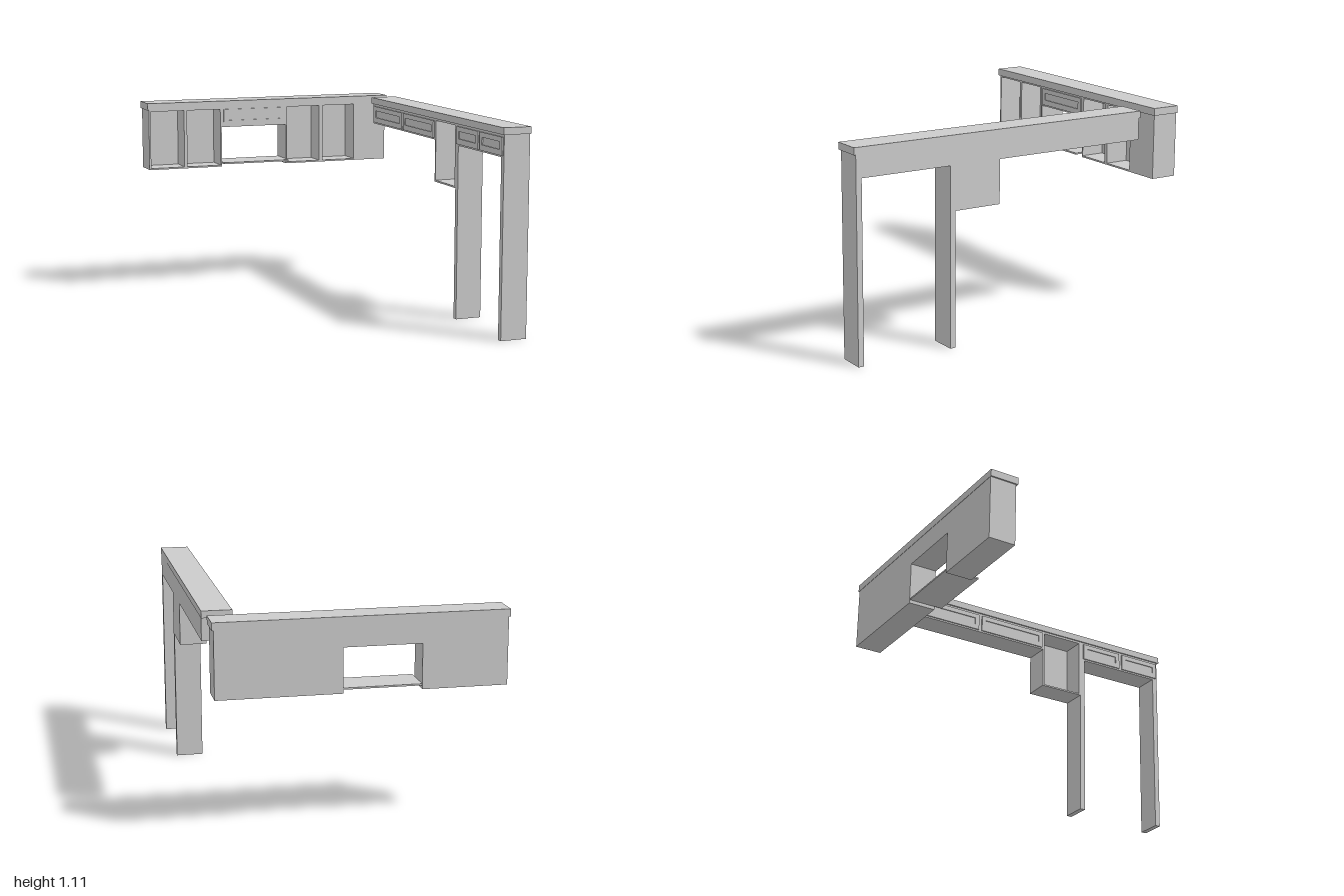
import * as THREE from 'three';

const material = new THREE.MeshStandardMaterial({ color: 0xcccccc, flatShading: true });

function add(parent, name, geometry) {
  const mesh = new THREE.Mesh(geometry, material);
  mesh.name = name;
  parent.add(mesh);
  return mesh;
}

// Box given by its limits on each axis
function box(parent, name, x0, x1, y0, y1, z0, z1) {
  const mesh = add(parent, name, new THREE.BoxGeometry(x1 - x0, y1 - y0, z1 - z0));
  mesh.position.set((x0 + x1) / 2, (y0 + y1) / 2, (z0 + z1) / 2);
}

// Outline extruded from z0 to z1, with rectangular holes [x0, x1, y0, y1]
function plate(parent, name, outline, holes, z0, z1) {
  const shape = new THREE.Shape(outline.map(([x, y]) => new THREE.Vector2(x, y)));
  for (const h of holes) shape.holes.push(new THREE.Path(rect(...h).map(([x, y]) => new THREE.Vector2(x, y))));
  const geometry = new THREE.ExtrudeGeometry(shape, { depth: z1 - z0, bevelEnabled: false });
  geometry.translate(0, 0, z0);
  add(parent, name, geometry);
}

function rect(x0, x1, y0, y1) {
  return [[x0, y0], [x1, y0], [x1, y1], [x0, y1]];
}

// Drawer front: raised frame round a sunken panel
function drawer(parent, x0, x1, y0, y1, z) {
  const group = new THREE.Group();
  group.name = 'drawer';
  const inner = [x0 + 0.026, x1 - 0.026, y0 + 0.03, y1 - 0.026];
  plate(group, 'drawerFrame', rect(x0, x1, y0, y1), [inner], z, z + 0.008);
  box(group, 'drawerPanel', ...inner, z - 0.002, z + 0.002);
  parent.add(group);
}

function backUnit() {
  const unit = new THREE.Group();
  unit.name = 'backUnit';
  box(unit, 'backTop', -0.76, 0.743, 1.072, 1.112, -1, -0.84);
  // Carcass with a knee opening in the middle
  const outline = [
    [-0.752, 0.722], [-0.31, 0.722], [-0.31, 0.957], [0.092, 0.957],
    [0.092, 0.722], [0.734, 0.722], [0.734, 1.072], [-0.752, 1.072],
  ];
  const cubbies = [[-0.742, -0.54], [-0.522, -0.318], [0.1, 0.304], [0.327, 0.53]]
    .map(([a, b]) => [a, b, 0.731, 1.063]);
  plate(unit, 'backPanel', outline, [], -0.998, -0.985);
  plate(unit, 'backCabinets', outline, cubbies, -0.985, -0.848);
  drawer(unit, -0.297, 0.08, 0.966, 1.062, -0.848);
  box(unit, 'tray', -0.31, 0.092, 0.741, 0.75, -0.995, -0.805);
  return unit;
}

// Built facing +z with its length along x, then turned to face -x
function sideUnit() {
  const unit = new THREE.Group();
  unit.name = 'sideUnit';
  box(unit, 'sideTop', -0.735, 1, 1.075, 1.112, -0.757, -0.6);
  const outline = [
    [-0.725, 0.957], [0.16, 0.957], [0.16, 0.722], [0.425, 0.722],
    [0.425, 0.957], [0.99, 0.957], [0.99, 1.075], [-0.725, 1.075],
  ];
  plate(unit, 'sidePanel', outline, [], -0.756, -0.745);
  plate(unit, 'sideCabinet', outline, [[0.17, 0.415, 0.731, 1.063]], -0.745, -0.609);
  for (const [a, b] of [[-0.7, -0.285], [-0.265, 0.15], [0.445, 0.705], [0.725, 0.98]]) {
    drawer(unit, a, b, 0.966, 1.062, -0.609);
  }
  for (const z of [0.425, 0.959]) box(unit, 'leg', z, z + 0.031, 0, 0.957, -0.756, -0.609);
  unit.rotation.y = -Math.PI / 2;
  return unit;
}

export function createModel() {
  const model = new THREE.Group();
  model.name = 'cornerDesk';
  model.add(backUnit(), sideUnit());
  return model;
}
